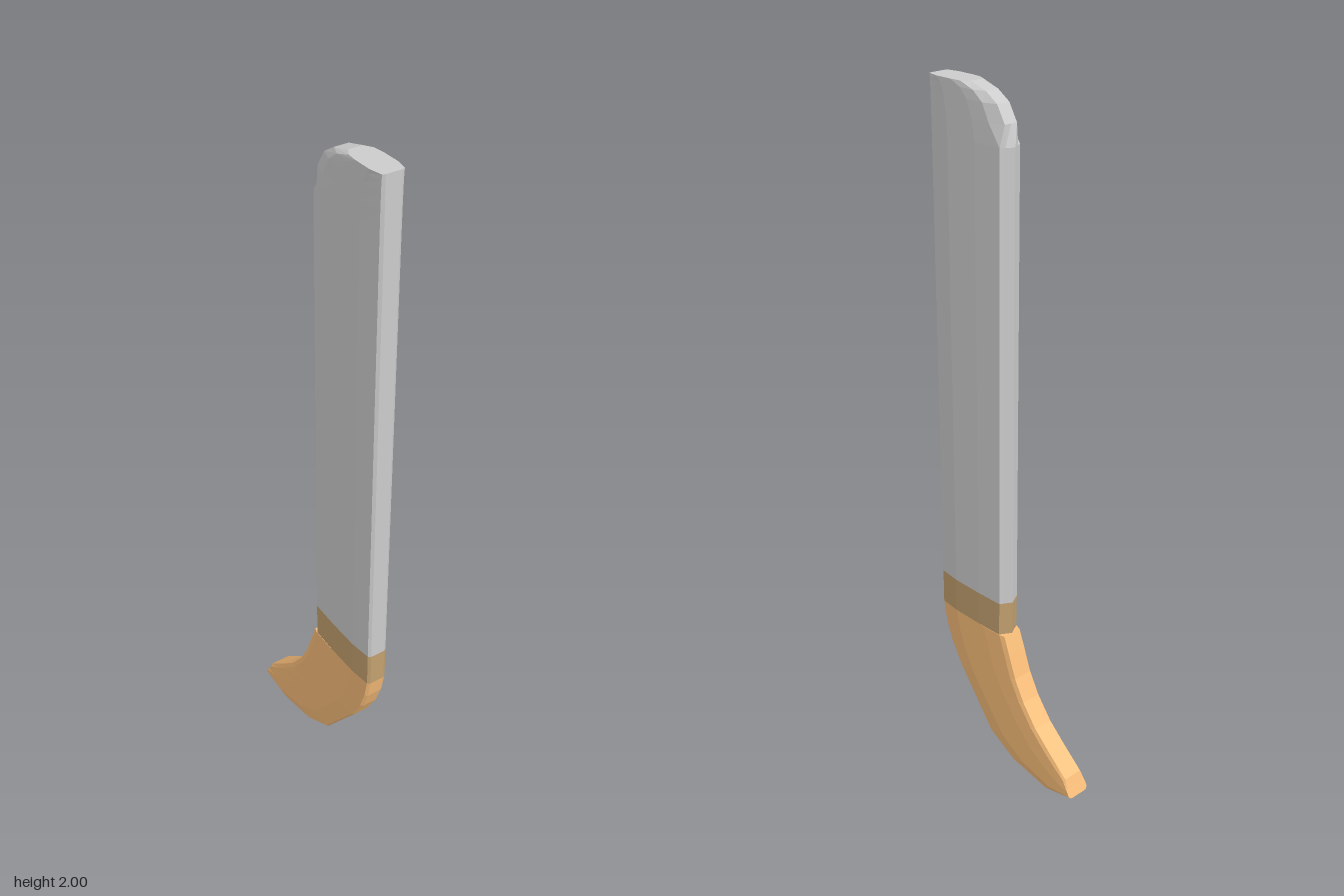
import * as THREE from 'three';

// Half cross-sections, front to back: [half width, fraction of depth from the back]
const ridged = [[0.022, 1], [0.03, 0.98], [0.037, 0.74], [0.037, 0.38], [0.034, 0.07], [0.021, 0.045], [0, 0]];
const rounded = [[0.022, 1], [0.03, 0.98], [0.037, 0.74], [0.037, 0.38], [0.034, 0.16], [0.02, 0], [0, 0]];
const flat = [[0.022, 1], [0.03, 0.98], [0.037, 0.74], [0.037, 0.3], [0.035, 0.06], [0.03, 0], [0, 0]];

// Skin a stack of mirrored sections, listed from bottom to top, and cap both ends.
// Each station is [front z, front y, back z, back y, half section].
function loft(name, stations, color) {
  const n = 12;
  const rings = stations.map(([fz, fy, bz, by, half]) => {
    const mirrored = half.slice(1, -1).reverse().map(([x, t]) => [-x, t]);
    const last = [-half[0][0], half[0][1]];
    return [...half, ...mirrored, last].map(([x, t]) =>
      new THREE.Vector3(x, by + (fy - by) * t, bz + (fz - bz) * t));
  });
  const pos = [];
  const tri = (...points) => points.forEach((p) => pos.push(p.x, p.y, p.z));
  const count = rings[0].length;
  for (let i = 0; i + 1 < rings.length; i++) {
    for (let j = 0; j < count; j++) {
      const k = (j + 1) % count;
      tri(rings[i][j], rings[i][k], rings[i + 1][k]);
      tri(rings[i][j], rings[i + 1][k], rings[i + 1][j]);
    }
  }
  const cap = (ring, up) => {
    const c = ring.reduce((s, p) => s.add(p), new THREE.Vector3()).divideScalar(count);
    ring.forEach((p, j) => {
      const q = ring[(j + 1) % count];
      up ? tri(c, p, q) : tri(c, q, p);
    });
  };
  cap(rings[0], false);
  cap(rings[rings.length - 1], true);

  const geometry = new THREE.BufferGeometry();
  geometry.setAttribute('position', new THREE.Float32BufferAttribute(pos, 3));
  geometry.computeVertexNormals();
  const mesh = new THREE.Mesh(geometry, new THREE.MeshStandardMaterial({ color, flatShading: true }));
  mesh.name = name;
  return mesh;
}

export function createModel() {
  const group = new THREE.Group();
  group.name = 'curvedHandleBlade';
  const level = (y, back, half) => [0.275, y, back, y, half];

  // Long blade with a rounded upper back corner
  group.add(loft('blade', [
    level(0.555, 0.002, ridged),
    level(1.86, -0.008, ridged),
    level(1.915, 0.008, rounded),
    level(1.96, 0.035, rounded),
    level(1.985, 0.075, rounded),
    level(2, 0.13, rounded),
  ], 0xcccccc));

  // Collar between blade and handle
  group.add(loft('collar', [
    level(0.45, 0.005, ridged),
    level(0.555, 0.002, ridged),
  ], 0xc2a06f));

  // Handle sweeping down and backwards to a blunt tip
  group.add(loft('handle', [
    [-0.275, 0.03, -0.262, 0.058, flat],
    [-0.17, 0.005, -0.25, 0.085, flat],
    [-0.03, 0.03, -0.215, 0.115, flat],
    [0.07, 0.085, -0.18, 0.145, flat],
    [0.15, 0.19, -0.125, 0.195, flat],
    [0.2, 0.255, -0.075, 0.26, flat],
    [0.243, 0.33, -0.04, 0.325, flat],
    [0.264, 0.39, -0.015, 0.395, flat],
    level(0.45, 0.005, flat),
  ], 0xf8bd79));

  return group;
}
